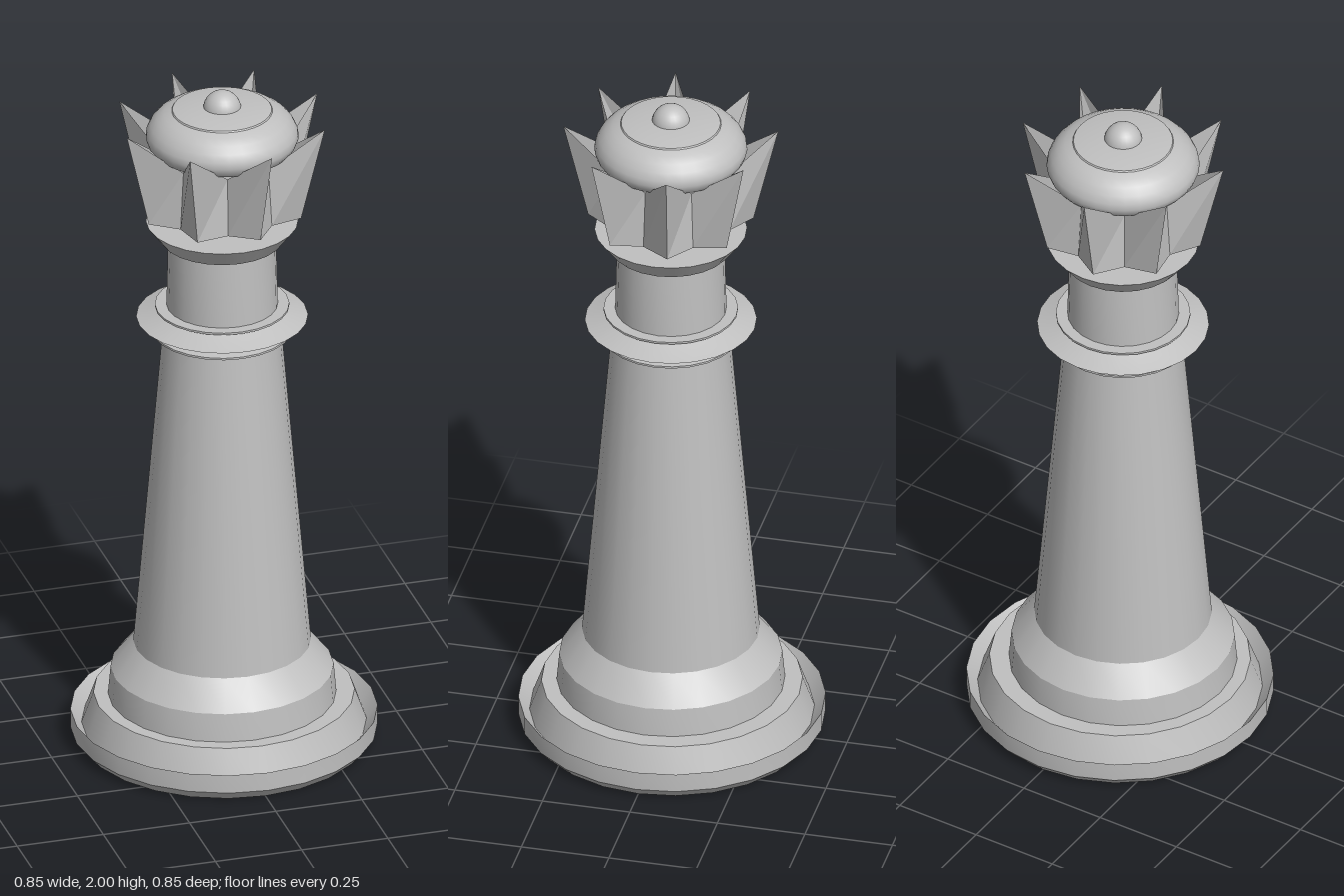
import * as THREE from 'three';
import { toCreasedNormals } from 'three/addons/utils/BufferGeometryUtils.js';

const stone = new THREE.MeshStandardMaterial({ color: 0xc0c0c0 });
stone.name = 'grey stone';
const stoneThin = new THREE.MeshStandardMaterial({ color: 0xc0c0c0, side: THREE.DoubleSide });
stoneThin.name = 'grey stone sheet';

// Turned part from [radius, height] pairs, bottom to top
function turned(name, profile, sides = 24, crease = 0.5) {
  const lathe = new THREE.LatheGeometry(profile.map(([r, y]) => new THREE.Vector2(r, y)), sides);
  const mesh = new THREE.Mesh(toCreasedNormals(lathe, crease), stone);
  mesh.name = name;
  return mesh;
}

// Fluted crown wall: eight flaring points with folded valleys between them
function crownWall() {
  const points = 8, start = THREE.MathUtils.degToRad(11), pos = [];
  const at = (i, top) => {
    const tip = i % 2 === 0;
    const a = start + (i * Math.PI) / points;
    const r = top ? (tip ? 0.299 : 0.168) : (tip ? 0.23 : 0.18);
    const y = top ? (tip ? 1.925 : 1.81) : 1.64;
    return [Math.sin(a) * r, y, Math.cos(a) * r];
  };
  for (let i = 0; i < points * 2; i++) {
    const a = at(i, false), b = at(i + 1, false), c = at(i + 1, true), d = at(i, true);
    pos.push(...a, ...b, ...c, ...a, ...c, ...d);
    pos.push(0, 1.64, 0, ...b, ...a); // floor of the crown
  }
  const geo = new THREE.BufferGeometry();
  geo.setAttribute('position', new THREE.Float32BufferAttribute(pos, 3));
  geo.computeVertexNormals();
  const mesh = new THREE.Mesh(geo, stoneThin);
  mesh.name = 'crownWall';
  return mesh;
}

export function createModel() {
  const model = new THREE.Group();
  model.name = 'chessPiece';

  // Foot with chamfered underside and a groove round its top
  model.add(turned('base', [
    [0, 0], [0.4, 0], [0.427, 0.03], [0.427, 0.085], [0.396, 0.045],
    [0.363, 0.137], [0, 0.137],
  ]));

  // Everything above the foot sits very slightly off its centre
  const upper = new THREE.Group();
  upper.name = 'upperBody';
  upper.position.set(-0.007, 0, 0.005);
  model.add(upper);

  upper.add(turned('shoulder', [[0.318, 0.13], [0.31, 0.22], [0.247, 0.3]]));
  upper.add(turned('column', [[0.247, 0.3], [0.165, 1.265]]));
  upper.add(turned('collarRing', [
    [0.16, 1.262], [0.195, 1.262], [0.195, 1.268], [0.17, 1.272], [0.18, 1.285],
    [0.239, 1.305], [0.18, 1.325], [0.165, 1.332], [0.187, 1.336], [0.187, 1.342], [0.145, 1.342],
  ]));
  upper.add(turned('neck', [[0.155, 1.335], [0.15, 1.55]]));
  upper.add(turned('crownCollar', [[0.14, 1.545], [0.17, 1.545], [0.212, 1.6], [0, 1.6]]));
  upper.add(turned('stem', [[0.031, 1.59], [0.031, 1.84]], 16));

  // Crown, cushion and finial
  upper.add(crownWall());
  upper.add(turned('dome', [
    [0, 1.832], [0.197, 1.832], [0.207, 1.845], [0.213, 1.862], [0.21, 1.88],
    [0.2, 1.9], [0.183, 1.919], [0.162, 1.933], [0.14, 1.941],
  ], 32, 0.6));
  upper.add(turned('domeCap', [[0.142, 1.938], [0.138, 1.945], [0.1, 1.951], [0.05, 1.954], [0, 1.955]], 32, 0.6));

  const finial = new THREE.Mesh(new THREE.SphereGeometry(0.053, 24, 16), stone);
  finial.name = 'finial';
  finial.position.y = 1.947;
  upper.add(finial);

  return model;
}
